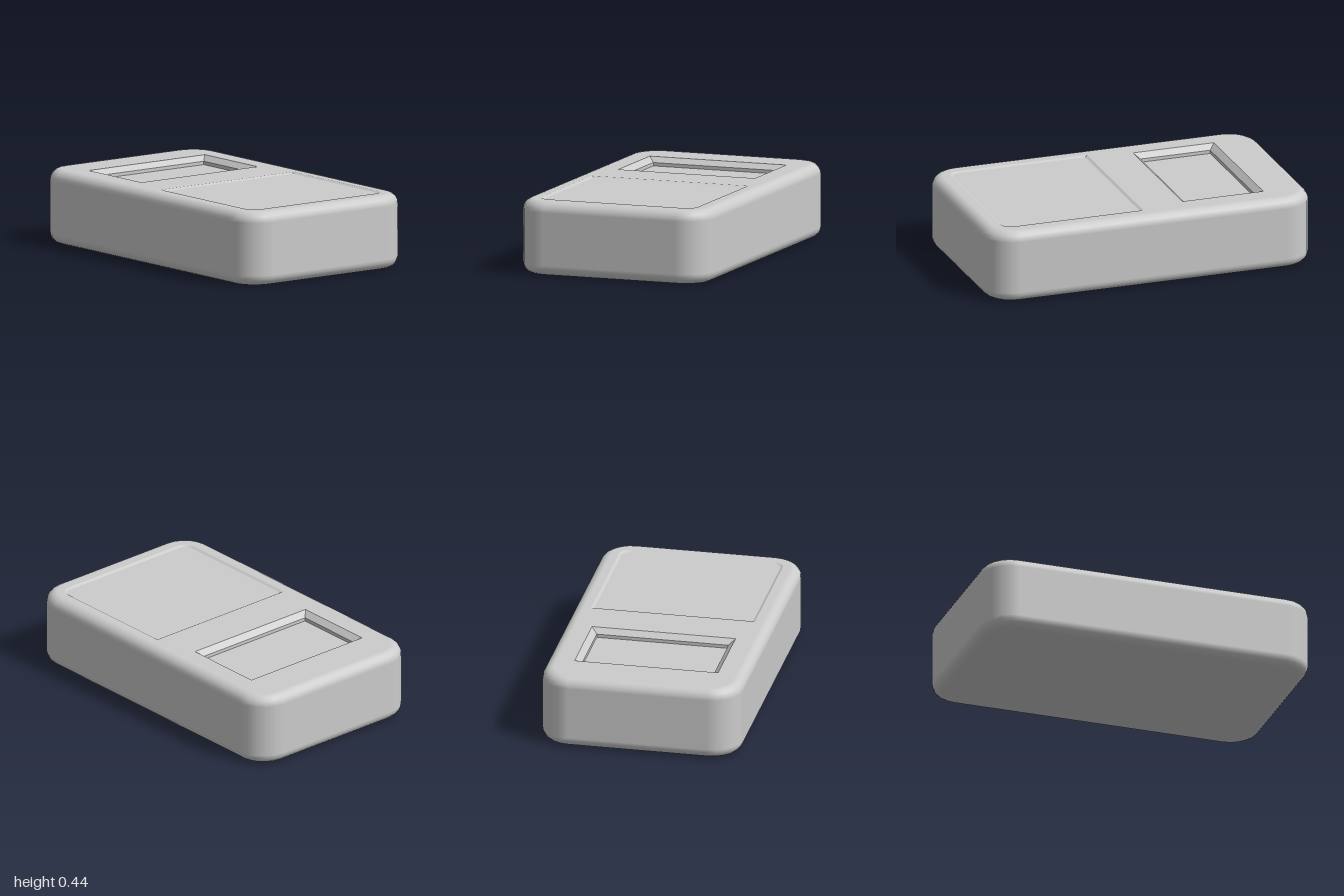
import * as THREE from 'three';

const SEG = 5; // segments per rounded corner
const TOP = 0.435;

// Rounded rectangle in plan, with an outward direction for every point.
function outline({ w, back, front, rBack, rFront }, inset = 0) {
  const pts = [];
  const corners = [[1, front, rFront, 0], [-1, front, rFront, 1], [-1, back, rBack, 2], [1, back, rBack, 3]];
  for (const [sx, z, r, quarter] of corners) {
    const sz = z === front ? 1 : -1;
    const rad = Math.max(r - inset, 0), reach = Math.max(r, inset);
    for (let i = 0; i <= SEG; i++) {
      const a = (quarter + i / SEG) * Math.PI / 2, nx = Math.cos(a), nz = Math.sin(a);
      pts.push({ x: sx * (w - reach) + rad * nx, z: z - sz * reach + rad * nz, nx, nz });
    }
  }
  return pts;
}

// Skin over a stack of outlines; n = [outward, up] is the normal at each ring.
function loft(rings) {
  const pos = [], nor = [], idx = [], count = rings[0].pts.length;
  for (const { pts, y, n } of rings) {
    const len = Math.hypot(n[0], n[1]);
    for (const p of pts) {
      pos.push(p.x, y, p.z);
      nor.push(p.nx * n[0] / len, n[1] / len, p.nz * n[0] / len);
    }
  }
  for (let k = 0; k < rings.length - 1; k++) {
    for (let i = 0; i < count; i++) {
      const a = k * count + i, b = k * count + (i + 1) % count;
      idx.push(b, a, a + count, b, a + count, b + count);
    }
  }
  const g = new THREE.BufferGeometry();
  g.setAttribute('position', new THREE.Float32BufferAttribute(pos, 3));
  g.setAttribute('normal', new THREE.Float32BufferAttribute(nor, 3));
  g.setIndex(idx);
  return g;
}

// Flat horizontal face, optionally with holes.
function plate(pts, y, holes = [], up = true) {
  const s = up ? -1 : 1;
  const flat = (list) => list
    .filter((p, i) => i === 0 || Math.hypot(p.x - list[i - 1].x, p.z - list[i - 1].z) > 1e-6)
    .map((p) => new THREE.Vector2(p.x, s * p.z));
  const shape = new THREE.Shape(flat(pts));
  for (const h of holes) shape.holes.push(new THREE.Path(flat(h)));
  return new THREE.ShapeGeometry(shape).rotateX(s * Math.PI / 2).translate(0, y, 0);
}

export function createModel() {
  const model = new THREE.Group();
  const material = new THREE.MeshStandardMaterial({ color: 0xcccccc });
  const add = (name, geometry) => {
    const mesh = new THREE.Mesh(geometry, material);
    mesh.name = name;
    model.add(mesh);
  };

  const body = { w: 0.592, back: -1, front: 1, rBack: 0.18, rFront: 0.18 };
  const screen = { w: 0.425, back: -0.73, front: -0.232, rBack: 0, rFront: 0 };
  const panel = { w: 0.485, back: 0.03, front: 0.89, rBack: 0, rFront: 0.065 };

  // Case sides with rounded bottom and top edges
  const R = 0.062, STEPS = 5, rings = [];
  for (const side of [-1, 1]) {
    for (let i = 0; i <= STEPS; i++) {
      const t = (side < 0 ? i - STEPS : i) / STEPS * Math.PI / 2;
      const c = Math.cos(t), s = Math.sin(t);
      rings.push({ pts: outline(body, R * (1 - c)), y: (side < 0 ? R : TOP - R) + R * s, n: [c, s] });
    }
  }
  add('caseShell', loft(rings));
  add('caseBottom', plate(outline(body, R), 0, [], false));
  add('caseTop', plate(outline(body, R), TOP, [outline(screen), outline(panel)]));

  // Screen recess: sloped frame, short vertical wall, flat glass
  const slope = 0.035, lip = TOP - 0.03, glass = TOP - 0.05;
  const opening = outline(screen, slope);
  add('screenBezel', loft([
    { pts: outline(screen), y: TOP, n: [-0.03, slope] },
    { pts: opening, y: lip, n: [-0.03, slope] },
  ]));
  add('screenWall', loft([
    { pts: opening, y: lip, n: [-1, 0] },
    { pts: opening, y: glass, n: [-1, 0] },
  ]));
  add('screenGlass', plate(opening, glass));

  // Shallow panel in the lower half
  const rim = 0.015, depth = 0.008;
  add('panelRim', loft([
    { pts: outline(panel), y: TOP, n: [-depth, rim] },
    { pts: outline(panel, rim), y: TOP - depth, n: [-depth, rim] },
  ]));
  add('panelFace', plate(outline(panel, rim), TOP - depth));

  return model;
}
